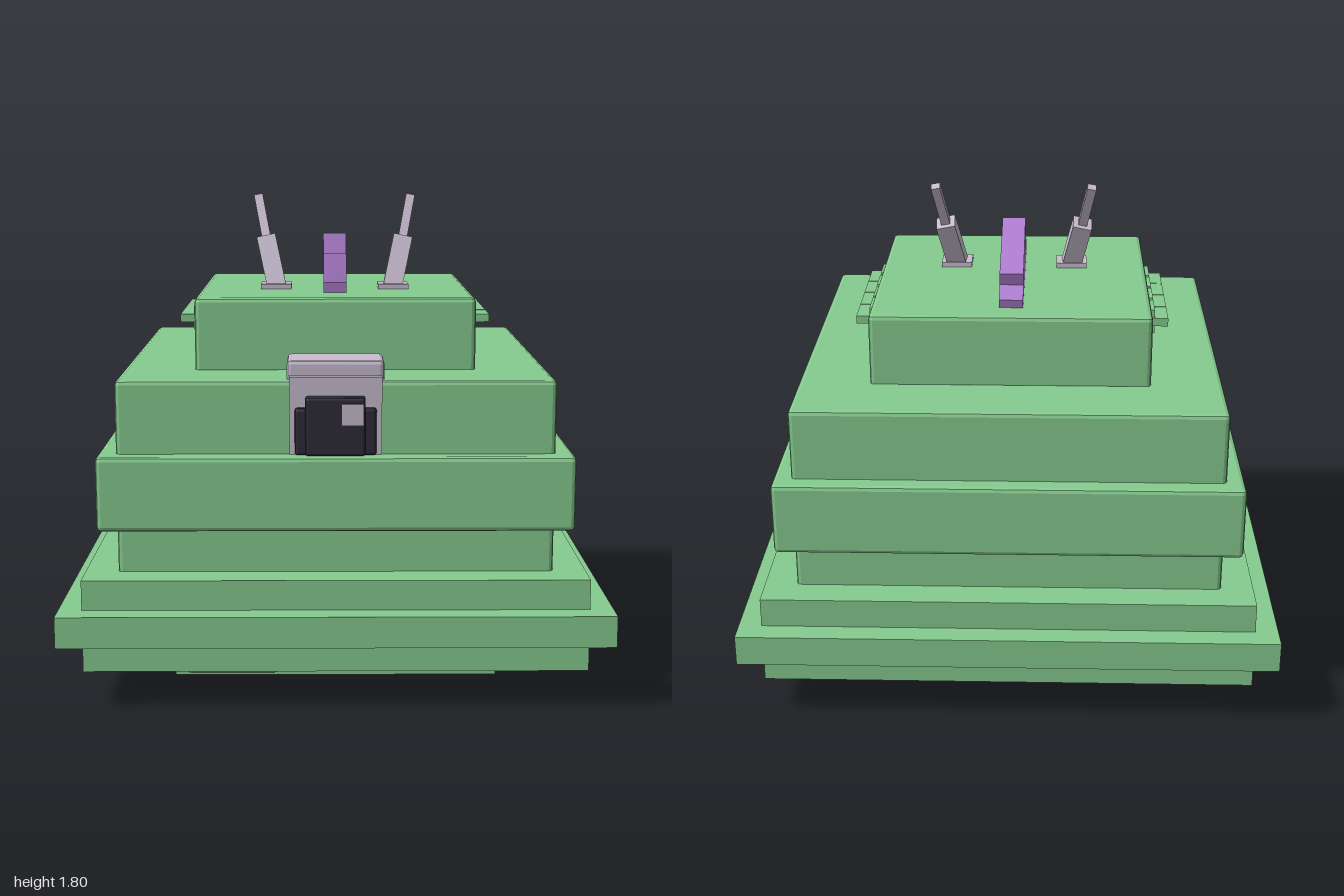
import * as THREE from 'three';
import { RoundedBoxGeometry } from 'three/addons/geometries/RoundedBoxGeometry.js';

const mat = (name, color) => {
  const m = new THREE.MeshStandardMaterial({ color });
  m.name = name;
  return m;
};

// Box given by its extents, optionally with chamfered edges
function block(name, material, [x0, x1], [y0, y1], [z0, z1], bevel = 0) {
  const size = [x1 - x0, y1 - y0, z1 - z0];
  const geo = bevel ? new RoundedBoxGeometry(...size, 1, bevel) : new THREE.BoxGeometry(...size);
  if (bevel) geo.computeVertexNormals(); // flat facets
  const mesh = new THREE.Mesh(geo, material);
  mesh.position.set((x0 + x1) / 2, (y0 + y1) / 2, (z0 + z1) / 2);
  mesh.name = name;
  return mesh;
}

// Square bar running from point a to point b
function bar(name, material, a, b, width) {
  const dir = b.clone().sub(a);
  const mesh = new THREE.Mesh(new THREE.BoxGeometry(width, dir.length(), width), material);
  mesh.position.copy(a).add(b).multiplyScalar(0.5);
  mesh.quaternion.setFromUnitVectors(new THREE.Vector3(0, 1, 0), dir.normalize());
  mesh.name = name;
  return mesh;
}

export function createModel() {
  const green = mat('green shell', 0x86cb8f);
  const lilac = mat('pale lilac metal', 0xc9bdd0);
  const dark = mat('dark lens', 0x2d2c38);
  const purple = mat('purple fin', 0xb07fd2);
  const model = new THREE.Group();
  model.name = 'model';

  // Stacked square body tiers: half width, bottom, top, chamfer
  const tiers = [
    ['foot', 0.61, 0, 0.125, 0],
    ['lowerSkirt', 0.915, 0.12, 0.235, 0],
    ['brim', 1, 0.235, 0.35, 0],
    ['upperSkirt', 0.915, 0.35, 0.46, 0],
    ['waist', 0.795, 0.44, 0.65, 0.016],
    ['middleTier', 0.862, 0.625, 0.898, 0.016],
    ['shoulderTier', 0.795, 0.88, 1.165, 0.016],
    ['head', 0.525, 1.15, 1.434, 0.016],
  ];
  for (const [name, h, y0, y1, bevel] of tiers)
    model.add(block(name, green, [-h, h], [y0, y1], [-h, h], bevel));

  // Pads under the skirt
  const pads = [
    [[-0.545, -0.215], [0.5, 0.835]],
    [[0.5, 0.835], [-0.535, -0.205]],
    [[-0.68, -0.35], [-0.735, -0.5]],
  ];
  for (const [x, z] of pads) model.add(block('underPad', green, x, [0.08, 0.16], z, 0.016));

  for (const s of [-1, 1]) {
    const side = s > 0 ? 'left' : 'right';
    const span = (a, b) => (s > 0 ? [a, b] : [-b, -a]);

    // Row of stepped side vents
    for (let i = 0; i < 4; i++) {
      const z = -0.213 + i * 0.142;
      model.add(block(side + 'VentBase', green, span(0.515, 0.547), [1.285, 1.378], [z - 0.06, z + 0.06]));
      model.add(block(side + 'VentBlade', green, span(0.54, 0.598), [1.316, 1.347], [z - 0.068, z + 0.068]));
    }

    // Leaning two-stage antenna
    const antenna = new THREE.Group();
    antenna.name = side + 'Antenna';
    const base = new THREE.Vector3(s * 0.228, 1.435, 0.125);
    const joint = new THREE.Vector3(s * 0.271, 1.626, 0.052);
    const tip = new THREE.Vector3(s * 0.304, 1.79, -0.016);
    antenna.add(
      block('antennaFoot', lilac, span(0.17, 0.29), [1.43, 1.453], [0.07, 0.18]),
      bar('antennaSleeve', lilac, base, joint, 0.075),
      bar('antennaRod', lilac, joint, tip, 0.035),
    );
    model.add(antenna);
  }

  // Front eye with hood, backing plate and stepped lens
  const eye = new THREE.Group();
  eye.name = 'frontEye';
  eye.add(
    block('eyeHood', lilac, [-0.177, 0.175], [1.15, 1.234], [0.568, 0.765], 0.014),
    block('eyePlate', lilac, [-0.168, 0.166], [0.898, 1.18], [0.74, 0.802]),
    block('eyeFrame', dark, [-0.148, 0.146], [0.898, 1.07], [0.78, 0.825], 0.01),
    block('eyeLens', dark, [-0.11, 0.106], [0.898, 1.112], [0.78, 0.842], 0.01),
    block('eyeGlint', lilac, [0.02, 0.1], [1.013, 1.09], [0.82, 0.858]),
  );
  model.add(eye);

  // Stepped fin along the crown, profile in (z, y)
  const profile = [
    [0.32, 1.42], [0.325, 1.475], [0.225, 1.45], [0.198, 1.575], [0.082, 1.545],
    [0.055, 1.645], [-0.338, 1.54], [-0.325, 1.493], [-0.425, 1.466], [-0.415, 1.42],
  ];
  const shape = new THREE.Shape(profile.map(([z, y]) => new THREE.Vector2(-z, y)));
  const finGeo = new THREE.ExtrudeGeometry(shape, { depth: 0.09, bevelEnabled: false });
  finGeo.translate(0, 0, -0.045).rotateY(Math.PI / 2);
  const fin = new THREE.Mesh(finGeo, purple);
  fin.name = 'crownFin';
  model.add(fin);

  return model;
}
